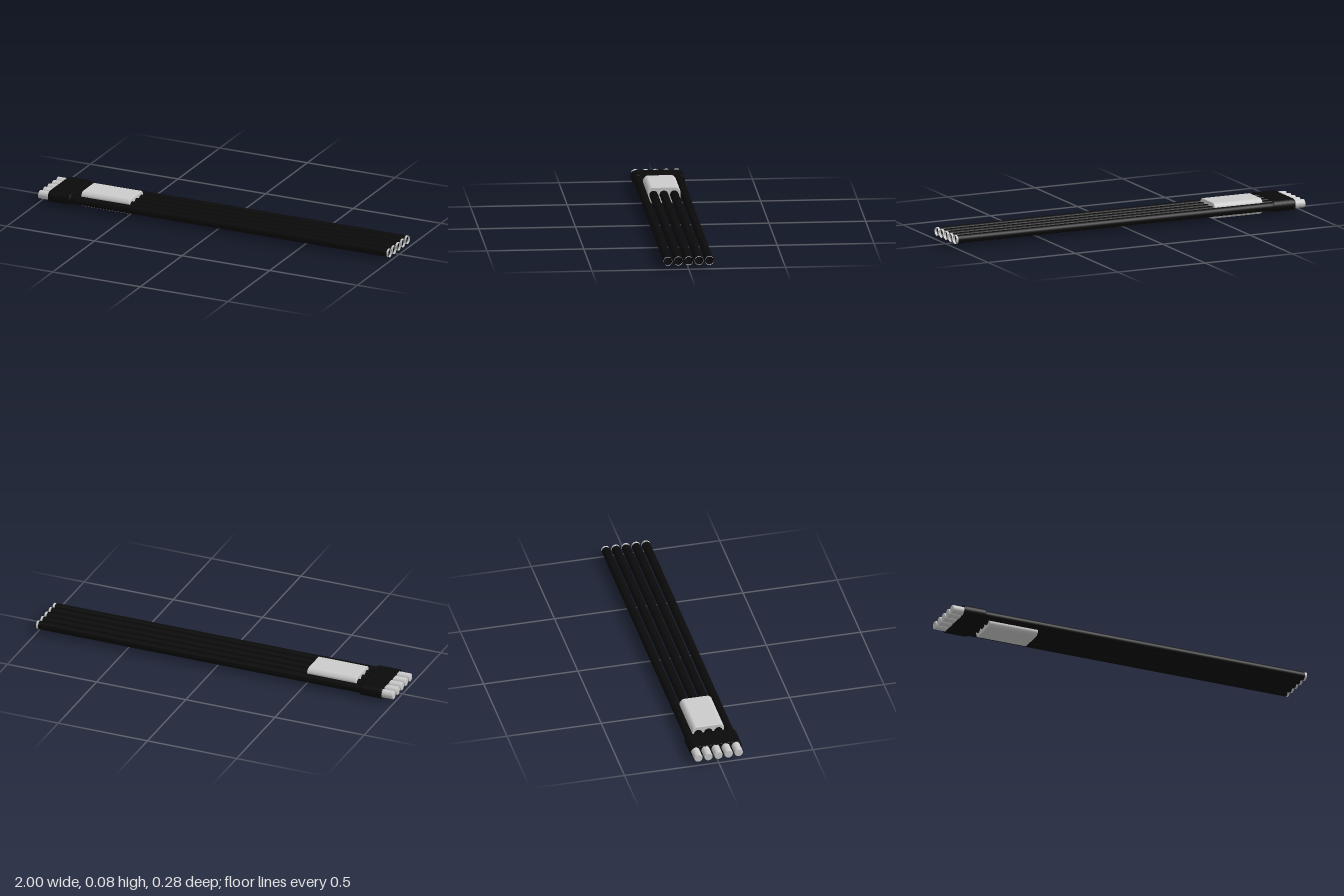
import * as THREE from 'three';

const Y = 0.043; // axis height of the tubes
const SPACING = 0.0535;
const grey = new THREE.MeshStandardMaterial({ color: 0xcccccc, side: THREE.DoubleSide });
const black = new THREE.MeshStandardMaterial({ color: 0x0a0a0a, side: THREE.DoubleSide });

function add(parent, name, geometry, material, x, y = 0, z = 0) {
  const mesh = new THREE.Mesh(geometry, material);
  mesh.name = name;
  mesh.position.set(x, y, z);
  parent.add(mesh);
  return mesh;
}

// Open cylinder running along x from x0 to x1
function pipe(radius, x0, x1) {
  return new THREE.CylinderGeometry(radius, radius, x1 - x0, 32, 1, true)
    .rotateZ(-Math.PI / 2).translate((x0 + x1) / 2, 0, 0);
}

// Outline with two round ends, lying along the first axis
function stadium(half, r, target = new THREE.Shape()) {
  target.absarc(half, 0, r, -Math.PI / 2, Math.PI / 2, false);
  target.absarc(-half, 0, r, Math.PI / 2, Math.PI * 1.5, false);
  target.closePath();
  return target;
}

// Extrude a cross-section along x, with softened ends, from x0 to x1
function extrudeX(shape, x0, x1, bevelSize, bevelThickness) {
  return new THREE.ExtrudeGeometry(shape, {
    depth: x1 - x0 - 2 * bevelThickness, steps: 1, curveSegments: 16,
    bevelEnabled: true, bevelSize, bevelThickness, bevelOffset: -bevelSize, bevelSegments: 4,
  }).rotateY(Math.PI / 2).translate(x0 + bevelThickness, 0, 0);
}

export function createModel() {
  const group = new THREE.Group();
  group.name = 'tubeBundle';

  // Plug profile: flat outer end with a soft rim, domed inner end
  const profile = [[0, 0], [0.019, 0], [0.021, 0.001], [0.022, 0.004], [0.022, 0.08]]
    .map(([r, h]) => new THREE.Vector2(r, h));
  for (let i = 1; i <= 10; i++) {
    const a = (i / 10) * Math.PI / 2;
    profile.push(new THREE.Vector2(0.022 * Math.cos(a), 0.08 + 0.022 * Math.sin(a)));
  }
  const plug = new THREE.LatheGeometry(profile, 32).rotateZ(-Math.PI / 2);
  const tube = pipe(0.0222, -0.93, 0.988);
  const tip = pipe(0.0222, 0.988, 1);

  // Five parallel hollow tubes with pale tips and plugs
  for (let i = -2; i <= 2; i++) {
    const strand = new THREE.Group();
    strand.name = 'strand';
    strand.position.set(0, Y, i * SPACING);
    add(strand, 'tube', tube, black, 0);
    add(strand, 'tubeTip', tip, grey, 0);
    add(strand, 'plug', plug, grey, -1);
    group.add(strand);
  }

  // Sleeve wrapped around all five tubes
  const sleeve = stadium(2 * SPACING, 0.0305);
  sleeve.holes.push(stadium(2 * SPACING, 0.0245, new THREE.Path()));
  add(group, 'sleeve', extrudeX(sleeve, -0.94, -0.815, 0.0025, 0.015), black, 0, Y + 0.001);

  // Clip block around the middle three tubes, with rounded shoulders
  const clip = new THREE.Shape();
  const w = 0.085, h = 0.0415;
  clip.moveTo(-0.062, -h);
  clip.lineTo(0.062, -h);
  clip.bezierCurveTo(0.072, -h, w, -0.028, w, -0.019);
  clip.lineTo(w, 0.019);
  clip.bezierCurveTo(w, 0.028, 0.072, h, 0.062, h);
  clip.lineTo(-0.062, h);
  clip.bezierCurveTo(-0.072, h, -w, 0.028, -w, 0.019);
  clip.lineTo(-w, -0.019);
  clip.bezierCurveTo(-w, -0.028, -0.072, -h, -0.062, -h);
  add(group, 'clip', extrudeX(clip, -0.775, -0.5, 0.004, 0.004), grey, 0, h);

  return group;
}
